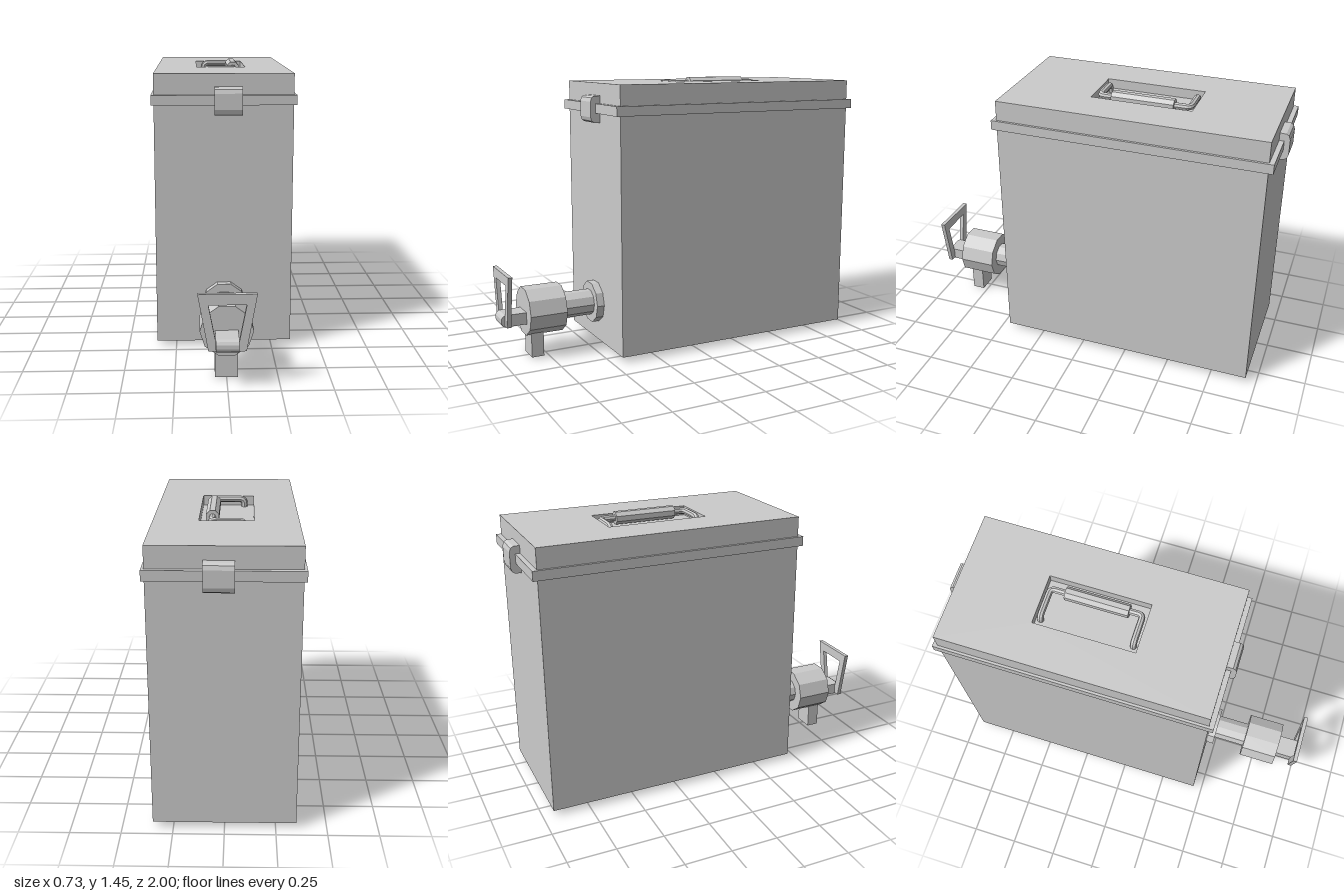
import * as THREE from 'three';

const mat = new THREE.MeshStandardMaterial({ color: 0xcccccc, flatShading: true, side: THREE.DoubleSide });
const X = 0.35, Z0 = -0.945, Z1 = 0.45, ZC = (Z0 + Z1) / 2;
const LID_Y = 1.43, TAP_Y = 0.245;

function add(parent, name, geometry) {
  const mesh = new THREE.Mesh(geometry, mat);
  mesh.name = name;
  parent.add(mesh);
  return mesh;
}

// Axis-aligned box from its limits; omit lists the sides to leave open
// (side order: +x, -x, +y, -y, +z, -z).
function box(x0, x1, y0, y1, z0, z1, omit = []) {
  const g = new THREE.BoxGeometry(x1 - x0, y1 - y0, z1 - z0);
  g.translate((x0 + x1) / 2, (y0 + y1) / 2, (z0 + z1) / 2);
  g.setIndex(Array.from(g.index.array).filter((_, i) => !omit.includes(Math.floor(i / 6))));
  g.clearGroups();
  return g;
}

// Ten-sided cylinder along z
function decagon(r, z0, z1) {
  return new THREE.CylinderGeometry(r, r, z1 - z0, 10)
    .rotateY(Math.PI / 2).rotateX(Math.PI / 2).translate(0, TAP_Y, (z0 + z1) / 2);
}

function polygon(points) {
  return new THREE.Shape(points.map(([x, y]) => new THREE.Vector2(x, y)));
}

function rect(x0, x1, y0, y1) {
  return polygon([[x0, y0], [x1, y0], [x1, y1], [x0, y1]]);
}

// Profile in (z, y) extruded along x from x0 to x1
function extrudeX(points, x0, x1) {
  return new THREE.ExtrudeGeometry(polygon(points.map(([z, y]) => [-z, y])), { depth: x1 - x0, bevelEnabled: false })
    .rotateY(Math.PI / 2).translate(x0, 0, 0);
}

// Polyline with rounded corners
function roundedPath(pts, r) {
  const path = new THREE.CurvePath();
  let from = pts[0];
  for (let i = 1; i < pts.length - 1; i++) {
    const a = pts[i].clone().add(pts[i - 1].clone().sub(pts[i]).setLength(r));
    const b = pts[i].clone().add(pts[i + 1].clone().sub(pts[i]).setLength(r));
    path.add(new THREE.LineCurve3(from, a));
    path.add(new THREE.QuadraticBezierCurve3(a, pts[i], b));
    from = b;
  }
  path.add(new THREE.LineCurve3(from, pts[pts.length - 1]));
  return path;
}

function createContainer() {
  const g = new THREE.Group();
  g.name = 'container';
  // Walls, open underneath
  add(g, 'bodyWalls', box(-X, X, 0.03, 1.3, Z0, Z1, [2, 3]));
  add(g, 'lidWalls', box(-X, X, 1.3, LID_Y, Z0, Z1, [2, 3]));

  // Lid top with an opening for the recess (shape y becomes -z)
  const top = rect(-X, X, -Z1, -Z0);
  top.holes.push(rect(-0.135, 0.13, -0.015, 0.515));
  add(g, 'lidTop', new THREE.ShapeGeometry(top).rotateX(-Math.PI / 2).translate(0, LID_Y, 0));
  add(g, 'handleRecess', box(-0.135, 0.13, 1.38, LID_Y, -0.515, 0.015, [2]));

  // Rim band
  const rim = rect(-0.363, 0.363, -Z1 - 0.025, -Z0 + 0.025);
  rim.holes.push(rect(-X, X, -Z1, -Z0));
  add(g, 'rimBand', new THREE.ExtrudeGeometry(rim, { depth: 0.05, bevelEnabled: false })
    .rotateX(-Math.PI / 2).translate(0, 1.275, 0));

  // Clips at both ends
  const profile = [[0, 1.225], [0.032, 1.226], [0.046, 1.235], [0.053, 1.255],
    [0.053, 1.335], [0.046, 1.355], [0.032, 1.364], [0, 1.365]];
  for (const [name, wall, dir] of [['frontClip', Z1, 1], ['backClip', Z0, -1]]) {
    add(g, name, extrudeX(profile.map(([d, y]) => [wall + dir * d, y]), -0.048, 0.092));
  }
  return g;
}

function createCarryHandle() {
  const g = new THREE.Group();
  g.name = 'carryHandle';
  const y = 1.42, zA = -0.49, zB = -0.012, x = 0.068;
  const v = (a, b, c) => new THREE.Vector3(a, b, c);
  const path = roundedPath([v(-0.088, 1.38, zA), v(-0.088, y, zA), v(x, y, zA),
    v(x, y, zB), v(-0.088, y, zB), v(-0.088, 1.38, zB)], 0.025);
  add(g, 'handleWire', new THREE.TubeGeometry(path, 100, 0.017, 8));
  add(g, 'handleGrip', new THREE.CylinderGeometry(0.035, 0.035, 0.33, 8)
    .rotateY(Math.PI / 8).rotateX(Math.PI / 2).translate(x, y, -0.245));
  return g;
}

function createTap() {
  const g = new THREE.Group();
  g.name = 'tap';
  add(g, 'tapFlange', decagon(0.113, 0.445, 0.49));
  add(g, 'tapPipe', decagon(0.07, 0.48, 0.67));
  add(g, 'tapBody', decagon(0.13, 0.665, 0.865));
  add(g, 'tapSpout', box(-0.056, 0.054, 0, 0.15, 0.775, 0.842));

  // Lever stem with a softened front end
  add(g, 'leverStem', extrudeX([[0.86, 0.187], [0.982, 0.187], [0.995, 0.195], [1, 0.21],
    [1, 0.23], [0.993, 0.243], [0.98, 0.25], [0.86, 0.25]], -0.056, 0.054));

  // Flared open lever
  const lever = polygon([[-0.09, 0.192], [0.088, 0.192], [0.137, 0.47], [-0.14, 0.47]]);
  lever.holes.push(polygon([[-0.056, 0.24], [0.054, 0.24], [0.088, 0.418], [-0.09, 0.418]]));
  add(g, 'leverLoop', new THREE.ExtrudeGeometry(lever, { depth: 0.022, bevelEnabled: false })
    .translate(0, 0, 0.959));
  return g;
}

export function createModel() {
  const model = new THREE.Group();
  model.name = 'dispenserBox';
  model.add(createContainer(), createCarryHandle(), createTap());
  return model;
}
